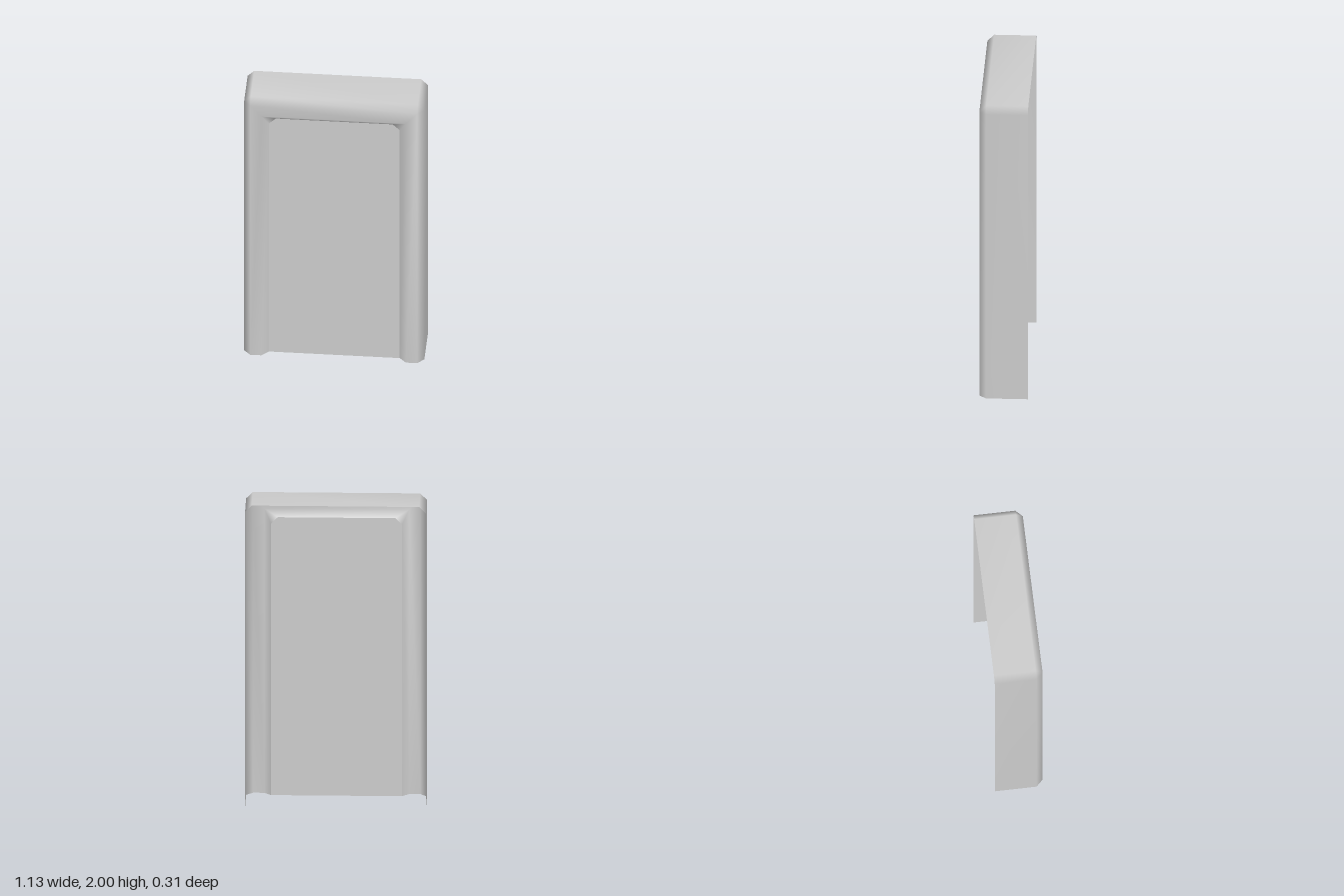
import * as THREE from 'three';
import { mergeVertices } from 'three/addons/utils/BufferGeometryUtils.js';

const material = new THREE.MeshStandardMaterial({ color: 0xcccccc, side: THREE.DoubleSide });

// Arch outline from one foot over the top to the other; cut = size of the corner chamfer
function archOutline(halfWidth, height, cut) {
  const half = [[halfWidth, 0], [halfWidth, height - cut], [halfWidth - cut, height]];
  return [...half.map(([x, y]) => [-x, y]), ...half.reverse()];
}

const opening = archOutline(0.41, 1.835, 0.043);

// Thin bevelled shell lofted through arch outlines, from the back edge round to the opening
function frameGeometry() {
  const rings = [
    [archOutline(0.565, 2, 0.042), -0.153],
    [archOutline(0.565, 2, 0.042), 0.11],
    [archOutline(0.523, 1.958, 0), 0.153],
    [archOutline(0.453, 1.878, 0), 0.153],
    [opening, 0.11],
  ];
  const positions = [];
  const point = (r, s) => new THREE.Vector3(...rings[r][0][s], rings[r][1]);
  const triangle = (...p) => {
    if (new THREE.Triangle(...p).getArea() > 1e-6) p.forEach((v) => positions.push(v.x, v.y, v.z));
  };
  for (let r = 0; r < rings.length - 1; r++) {
    for (let s = 0; s < 5; s++) {
      const a = point(r, s), b = point(r + 1, s), c = point(r + 1, s + 1), d = point(r, s + 1);
      triangle(a, b, c);
      triangle(a, c, d);
    }
  }
  const geometry = new THREE.BufferGeometry();
  geometry.setAttribute('position', new THREE.Float32BufferAttribute(positions, 3));
  const smooth = mergeVertices(geometry);
  smooth.computeVertexNormals();
  return smooth;
}

export function createModel() {
  const group = new THREE.Group();

  // Surround, open at the back and at the foot
  const frame = new THREE.Mesh(frameGeometry(), material);
  frame.name = 'doorFrame';

  // Flat panel filling the opening
  const shape = new THREE.Shape(opening.map(([x, y]) => new THREE.Vector2(x, y)));
  const panel = new THREE.Mesh(new THREE.ShapeGeometry(shape), material);
  panel.name = 'doorPanel';
  panel.position.z = 0.11;

  group.add(frame, panel);
  return group;
}
